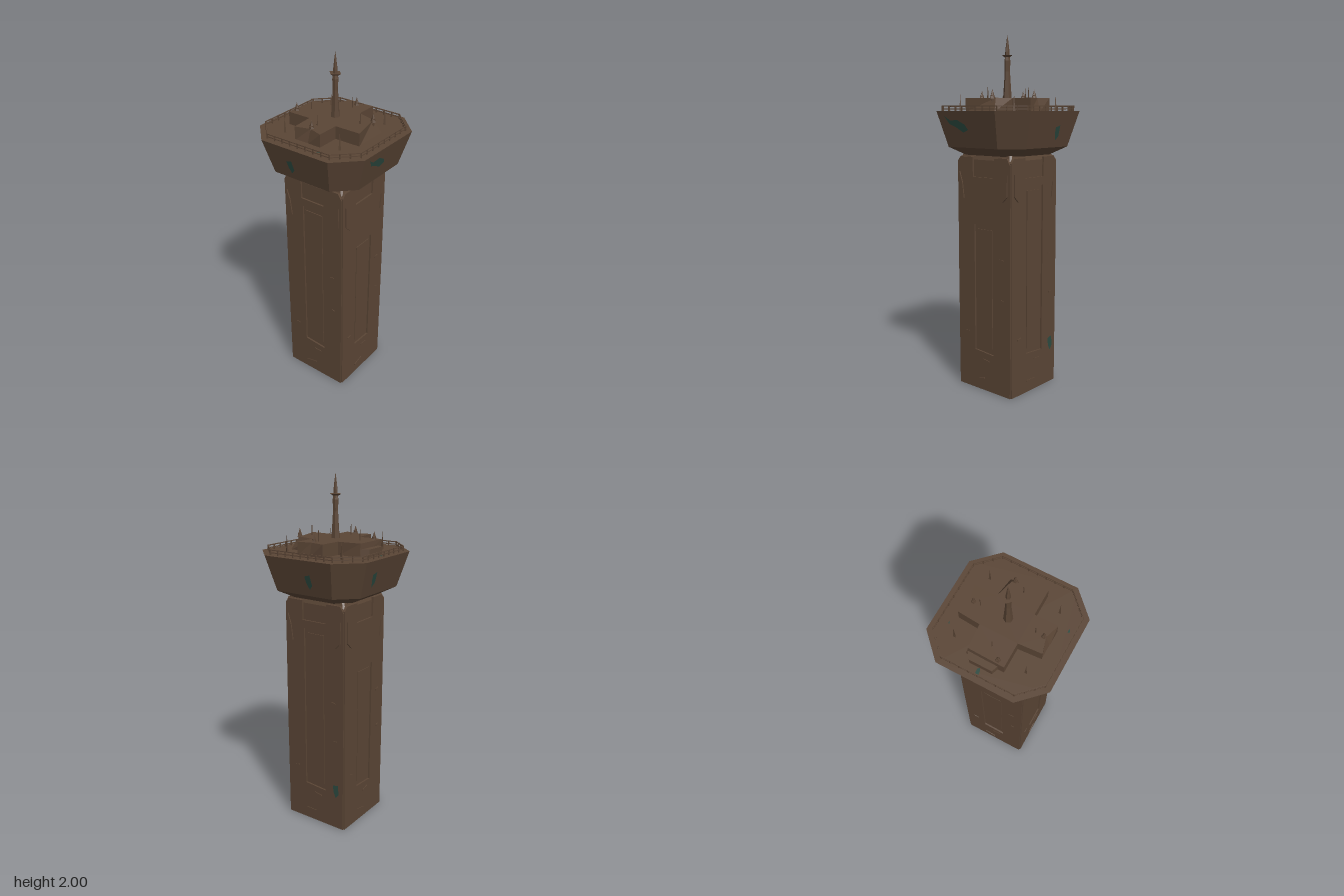
import * as THREE from 'three';

const brown = new THREE.MeshStandardMaterial({ color: 0x5a4535 });
brown.name = 'weatheredBrown';
const teal = new THREE.MeshStandardMaterial({ color: 0x2c4a40 });
teal.name = 'tealStain';

// Solid through stacked [x, -z] outlines: levels = [[y, outline], ...]
function loft(levels) {
  const pos = [];
  const put = (y, p) => pos.push(p[0], y, -p[1]);
  const n = levels[0][1].length;
  for (let k = 0; k < levels.length - 1; k++) {
    const [y0, a] = levels[k], [y1, b] = levels[k + 1];
    for (let i = 0; i < n; i++) {
      const j = (i + 1) % n;
      put(y0, a[i]); put(y0, a[j]); put(y1, b[j]);
      put(y0, a[i]); put(y1, b[j]); put(y1, b[i]);
    }
  }
  const cap = ([y, o], flip) => {
    const tris = THREE.ShapeUtils.triangulateShape(o.map(p => new THREE.Vector2(...p)), []);
    for (const t of tris) for (const i of flip ? [t[0], t[2], t[1]] : t) put(y, o[i]);
  };
  cap(levels[0], true);
  cap(levels[levels.length - 1], false);
  const g = new THREE.BufferGeometry();
  g.setAttribute('position', new THREE.Float32BufferAttribute(pos, 3));
  g.computeVertexNormals();
  return g;
}

const octagon = (h, f) => [[h, -f], [h, f], [f, h], [-f, h], [-h, f], [-h, -f], [-f, -h], [f, -h]];

function add(parent, name, geo, mat = brown, x = 0, y = 0, z = 0) {
  const m = new THREE.Mesh(geo, mat);
  m.name = name;
  m.position.set(x, y, z);
  parent.add(m);
  return m;
}

const polygon = pts => new THREE.Shape(pts.map(p => new THREE.Vector2(...p)));

export function createModel() {
  const tower = new THREE.Group();
  tower.name = 'watchtower';

  // Shaft core with worn corners, narrowing under the head
  add(tower, 'shaftCore', loft([
    [0, octagon(0.19, 0.183)], [0.6, octagon(0.19, 0.186)],
    [1.32, octagon(0.19, 0.182)], [1.36, octagon(0.175, 0.165)]]));

  // Wall cladding with a long recessed panel and a notch at the top
  for (let i = 0; i < 4; i++) {
    const side = new THREE.Group();
    side.name = 'wall' + i;
    side.rotation.y = i * Math.PI / 2;
    tower.add(side);
    const wall = polygon([[-0.192, 0], [0.192, 0], [0.195, 0.7], [0.193, 1.3], [0.17, 1.335],
      [0.08, 1.335], [0.075, 1.225], [-0.08, 1.225], [-0.08, 1.335], [-0.175, 1.335], [-0.195, 1.31], [-0.194, 0.6]]);
    const top = i % 2 ? 1.18 : 0.96;
    wall.holes.push(polygon([[-0.07, 0.23], [-0.07, top], [0.075, top], [0.07, 0.22]]));
    add(side, 'cladding', new THREE.ExtrudeGeometry(wall, { depth: 0.014, bevelEnabled: false }), brown, 0, 0, 0.186);
    add(side, 'recessedPanel', new THREE.BoxGeometry(0.115, top - 0.28, 0.01), brown, 0, (top + 0.23) / 2, 0.19);

    // Splintered plates near the top and chips along the wall
    for (const s of [-1, 1]) {
      const brace = polygon([[0, 1.1], [0.03 * s, 1.13], [0.032 * s, 1.25], [0.012 * s, 1.19]]);
      add(side, 'splinter', new THREE.ExtrudeGeometry(brace, { depth: 0.01, bevelEnabled: false }), brown, 0.145 * s, 0, 0.197);
    }
    for (const [x, y, w] of [[-0.13, 0.33, 0.03], [0.14, 0.55, 0.02], [0.13, 0.78, 0.03], [-0.03, 0.065, 0.07], [0.02, 0.18, 0.05]]) {
      const chip = add(side, 'chip', new THREE.BoxGeometry(w, 0.008, 0.008), brown, x, y, 0.2);
      chip.rotation.z = 0.25 * Math.sin(i * 2 + y * 20);
    }
  }

  // Flared octagonal head
  add(tower, 'head', loft([
    [1.345, octagon(0.2, 0.13)], [1.39, octagon(0.285, 0.18)], [1.585, octagon(0.342, 0.213)]]));

  // Railing around the deck
  const railing = new THREE.Group();
  railing.name = 'railing';
  tower.add(railing);
  const ring = octagon(0.31, 0.2);
  ring.forEach((a, i) => {
    const b = ring[(i + 1) % 8];
    const dx = b[0] - a[0], dz = a[1] - b[1], len = Math.hypot(dx, dz);
    for (const y of [1.597, 1.611]) {
      const bar = add(railing, 'rail', new THREE.BoxGeometry(len + 0.004, 0.005, 0.006), brown,
        (a[0] + b[0]) / 2, y, -(a[1] + b[1]) / 2);
      bar.rotation.y = Math.atan2(-dz, dx);
    }
    const count = Math.round(len / 0.05);
    for (let k = 0; k < count; k++) {
      add(railing, 'post', new THREE.BoxGeometry(0.006, 0.03, 0.006), brown,
        a[0] + dx * k / count, 1.599, -a[1] + dz * k / count);
    }
  });

  // Cross-shaped roof block with broken edges
  const base = [[0.232, -0.08], [0.232, 0], [0.232, 0.083], [0.108, 0.092], [0.108, 0.23], [-0.102, 0.23],
    [-0.102, 0.092], [-0.23, 0.083], [-0.23, 0], [-0.23, -0.08], [-0.102, -0.08], [-0.102, -0.228], [0.108, -0.228], [0.108, -0.08]];
  const crown = base.map(p => [...p]);
  crown[1] = [0.215, 0];
  crown[4] = [0.095, 0.225];
  crown[8] = [-0.205, 0];
  crown[12] = [0.08, -0.185];
  add(tower, 'roofBlock', loft([[1.58, base], [1.655, crown]]));
  const ledge = [[-0.07, 0.225], [0.1, 0.225], [0.07, 0.265], [-0.055, 0.265]];
  add(tower, 'roofLedge', loft([[1.58, ledge], [1.625, ledge]]));

  // Mast with a pointed collar
  const mast = new THREE.LatheGeometry([[0, 1.65], [0.025, 1.65], [0.02, 1.72], [0.015, 1.8], [0.017, 1.86],
    [0.013, 1.88], [0.012, 1.91], [0.006, 1.96], [0, 2]].map(p => new THREE.Vector2(...p)), 6).toNonIndexed();
  mast.computeVertexNormals();
  add(tower, 'mast', mast);
  const collar = new THREE.CylinderGeometry(0.037, 0.02, 0.01, 4).toNonIndexed();
  collar.computeVertexNormals();
  add(tower, 'mastCollar', collar, brown, 0, 1.884, 0);

  // Spikes on the roof arms: a flared foot and a pointed tip
  const cone = (r, h, n) => {
    const g = new THREE.ConeGeometry(r, h, n).toNonIndexed();
    g.computeVertexNormals();
    return g;
  };
  for (const [x, z] of [[-0.195, 0], [0.192, 0], [0.065, 0.195], [-0.06, -0.21]]) {
    add(tower, 'roofSpike', cone(0.016, 0.05, 5), brown, x, 1.675, z);
    const foot = add(tower, 'spikeFoot', cone(0.013, 0.09, 4), brown, x, 1.625, z);
    foot.rotation.x = Math.PI;
  }

  // Thin rods on the deck and roof
  for (const x of [-0.195, 0.2]) for (const z of [-0.18, 0.177])
    add(tower, 'deckRod', cone(0.008, 0.1, 3), brown, x, 1.63, z);
  for (const [x, z] of [[0, 0.16], [0, -0.16], [0.153, 0], [-0.15, 0]])
    add(tower, 'roofRod', new THREE.CylinderGeometry(0.002, 0.004, 0.06, 4), brown, x, 1.682, z);

  // Stains on the sloping head faces
  const streak = polygon([[-0.09, 0.045], [-0.05, 0.02], [0, 0.025], [0.05, 0], [0.07, -0.03], [0.03, -0.045], [-0.02, -0.015], [-0.06, 0]]);
  const blotch = polygon([[-0.02, 0.03], [0.015, 0.04], [0.02, -0.02], [0, -0.045], [-0.015, -0.01]]);
  [[0, -0.07, 1.515, streak], [1, 0.05, 1.47, blotch], [2, -0.1, 1.48, blotch], [3, -0.05, 1.47, blotch]].forEach(([i, x, y, shape]) => {
    const holder = new THREE.Group();
    holder.name = 'stainHolder';
    holder.rotation.y = i * Math.PI / 2;
    tower.add(holder);
    const stain = add(holder, 'headStain', new THREE.ShapeGeometry(shape), teal, x, y, 0.287 + (y - 1.39) * 0.292);
    stain.rotation.x = 0.284;
  });

  // Stains on the deck and shaft
  for (const [x, z, s] of [[0.01, -0.285, 0.5], [-0.28, 0.11, 0.25], [0.26, -0.13, 0.15]]) {
    const stain = add(tower, 'deckStain', new THREE.ShapeGeometry(blotch), teal, x, 1.587, z);
    stain.rotation.x = -Math.PI / 2;
    stain.scale.set(s, s, 1);
  }
  const shaftStain = add(tower, 'shaftStain', new THREE.ShapeGeometry(blotch), teal, 0.202, 0.24, -0.145);
  shaftStain.rotation.y = Math.PI / 2;

  return tower;
}
